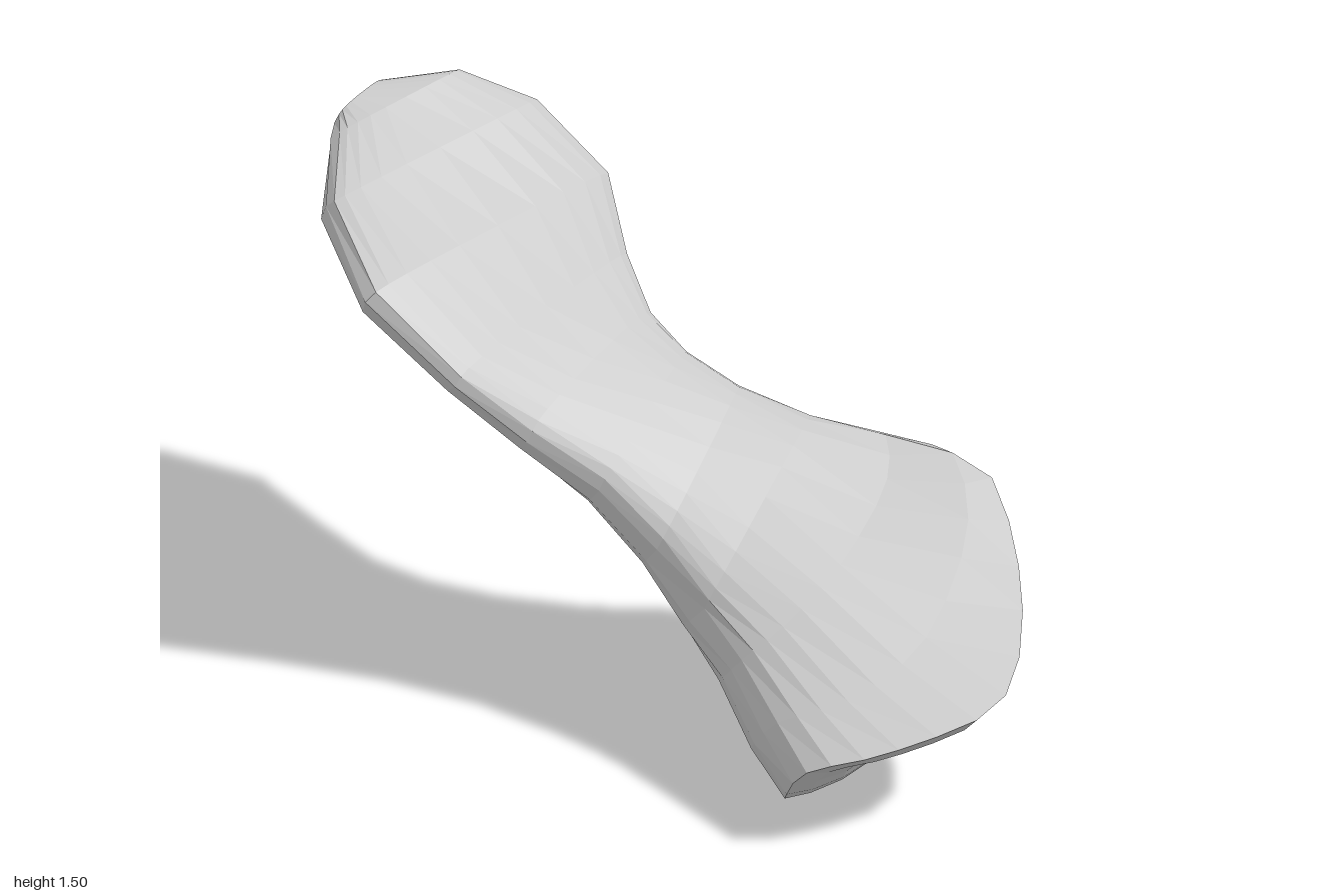
import * as THREE from 'three';

const SIDES = 24;
const vec = (p) => new THREE.Vector3(...p);

// Flared end: rim and two rings behind it, from the +x corner round the front, -x side and back
const FLARE = [
  [[0.54, 0.67, 0.48], [0.39, 0.55, 0.78], [0.08, 0.4, 1.0], [-0.21, 0.33, 0.89],
    [-0.36, 0.26, 0.71], [-0.27, 0.08, 0.56], [-0.02, 0, 0.4], [0.39, 0.2, 0.2]],
  [[0.51, 0.7, 0.39], [0.38, 0.63, 0.62], [0.05, 0.49, 0.76], [-0.2, 0.4, 0.71],
    [-0.31, 0.33, 0.57], [-0.25, 0.17, 0.43], [0, 0.1, 0.3], [0.37, 0.28, 0.15]],
  [[0.44, 0.72, 0.25], [0.32, 0.69, 0.4], [0.03, 0.61, 0.49], [-0.17, 0.51, 0.47],
    [-0.25, 0.42, 0.4], [-0.2, 0.29, 0.28], [0, 0.26, 0.17], [0.3, 0.43, 0.06]],
];

// Cross-sections from neck to paddle tip: -x side, +x side, upper middle, lower middle
const SECTIONS = [
  [[-0.22, 0.5, 0.25], [0.33, 0.76, 0.13], [0.02, 0.72, 0.25], [0.04, 0.44, 0.04]],
  [[-0.23, 0.62, 0.1], [0.23, 0.82, -0.03], [0, 0.81, 0.08], [0, 0.57, -0.07]],
  [[-0.28, 0.76, -0.05], [0.18, 0.89, -0.16], [-0.05, 0.91, -0.07], [-0.05, 0.71, -0.19]],
  [[-0.37, 0.88, -0.21], [0.18, 0.96, -0.27], [-0.1, 1.0, -0.22], [-0.1, 0.85, -0.31]],
  [[-0.48, 1.04, -0.36], [0.24, 1.06, -0.4], [-0.12, 1.11, -0.36], [-0.12, 0.99, -0.45]],
  [[-0.55, 1.23, -0.6], [0.33, 1.2, -0.55], [-0.1, 1.27, -0.54], [-0.1, 1.13, -0.62]],
  [[-0.41, 1.35, -0.85], [0.28, 1.38, -0.74], [-0.08, 1.41, -0.75], [-0.08, 1.28, -0.83]],
  [[-0.25, 1.43, -0.97], [0.14, 1.47, -0.89], [-0.05, 1.49, -0.89], [-0.05, 1.37, -0.95]],
  [[-0.2, 1.44, -1], [-0.03, 1.46, -1], [-0.11, 1.5, -0.98], [-0.11, 1.4, -1]],
];

// Smooth closed ring through eight points
function flareRing(points) {
  const curve = new THREE.CatmullRomCurve3(points.map(vec), true, 'catmullrom', 0.5);
  return Array.from({ length: SIDES }, (_, j) => curve.getPoint(j / SIDES));
}

// Rounded ring through four points, growing flatter and squarer towards the tip
function sectionRing([left, right, top, bottom], i) {
  const l = vec(left), r = vec(right);
  const c = l.clone().add(r).multiplyScalar(0.5);
  const side = r.clone().sub(c);
  const up = vec(top).sub(c), down = vec(bottom).sub(c);
  const power = Math.max(0.45, 0.8 - i * 0.07);
  const soften = (v, e) => Math.sign(v) * Math.abs(v) ** e;
  return Array.from({ length: SIDES }, (_, j) => {
    const a = (j / SIDES) * Math.PI * 2;
    const s = j % (SIDES / 2) === 0 ? 0 : soften(Math.sin(a), power);
    return c.clone().addScaledVector(side, soften(Math.cos(a), 0.85))
      .addScaledVector(s >= 0 ? up : down, Math.abs(s));
  });
}

const centreOf = (ring) =>
  ring.reduce((sum, p) => sum.add(p), new THREE.Vector3()).divideScalar(ring.length);

// Skin neighbouring rings with quads
function loft(rings) {
  const positions = rings.flat().flatMap((p) => p.toArray());
  const index = [];
  for (let i = 0; i < rings.length - 1; i++) {
    for (let j = 0; j < SIDES; j++) {
      const k = (j + 1) % SIDES;
      const a = i * SIDES + j, b = i * SIDES + k;
      const d = a + SIDES, c = b + SIDES;
      index.push(a, d, c, a, c, b);
    }
  }
  const geometry = new THREE.BufferGeometry();
  geometry.setAttribute('position', new THREE.Float32BufferAttribute(positions, 3));
  geometry.setIndex(index);
  geometry.computeVertexNormals();
  return geometry;
}

export function createModel() {
  const group = new THREE.Group();
  group.name = 'flaredBone';
  const grey = new THREE.MeshStandardMaterial({ color: 0xc8c8c8, flatShading: true });
  grey.name = 'stone grey';
  const add = (name, rings) => {
    const mesh = new THREE.Mesh(loft(rings), grey);
    mesh.name = name;
    group.add(mesh);
  };

  // Flare, neck and paddle, closed at the tip
  const rings = [...FLARE.map(flareRing), ...SECTIONS.map(sectionRing)];
  const tip = centreOf(rings[rings.length - 1]);
  add('shaftAndPaddle', [...rings, rings[0].map(() => tip.clone())]);

  // Domed end face
  const rim = rings[0];
  const centre = centreOf(rim);
  const bulge = new THREE.Vector3(0.03, -0.16, 0.02);
  const dome = [0, 0.3, 0.55, 0.8, 1].map((s) => rim.map((p) =>
    centre.clone().lerp(p, s).addScaledVector(bulge, 1 - s * s)));
  add('endFace', dome);

  return group;
}
